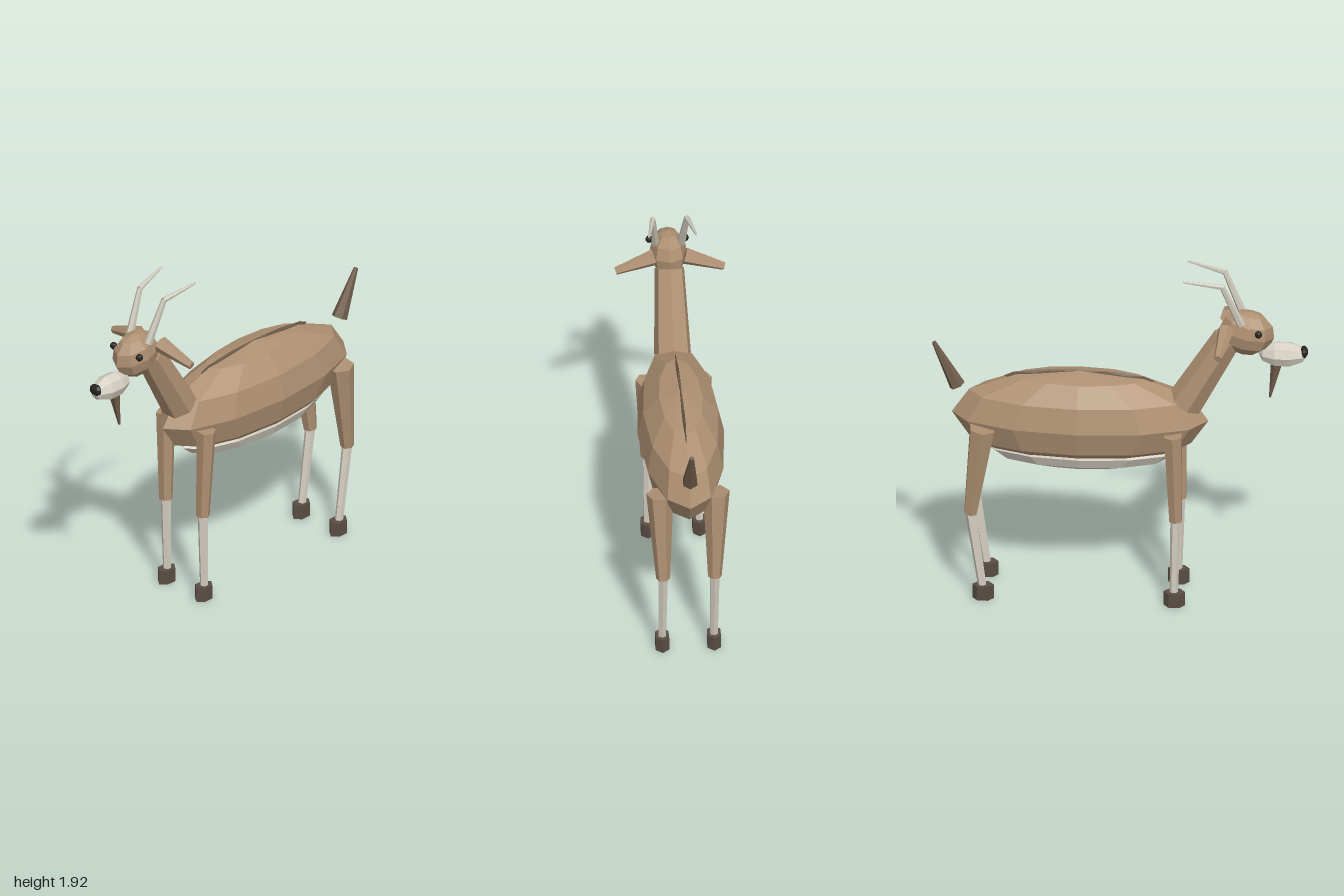
import * as THREE from 'three';

const paint = (color) => new THREE.MeshStandardMaterial({ color, flatShading: true });

export function createModel() {
  const goat = new THREE.Group();
  goat.name = 'goat';
  const tan = paint(0xae9072), brown = paint(0x6f5c4a), pale = paint(0xd6cfc2);
  const hornMat = paint(0xcdc8bb), hoofMat = paint(0x5a4e45), black = paint(0x25221f);

  const add = (name, geometry, material) => {
    const mesh = new THREE.Mesh(geometry, material);
    mesh.name = name;
    goat.add(mesh);
    return mesh;
  };

  // Faceted ellipsoid with given half sizes
  const blob = (name, material, centre, radii, w = 8, h = 6) => {
    const mesh = add(name, new THREE.SphereGeometry(1, w, h), material);
    mesh.position.set(...centre);
    mesh.scale.set(...radii);
    return mesh;
  };

  // Tapered prism running from point a to point b
  const limb = (name, material, a, b, ra, rb, sides = 6, start = 0) => {
    const from = new THREE.Vector3(...a), to = new THREE.Vector3(...b);
    const dir = to.clone().sub(from);
    const geometry = new THREE.CylinderGeometry(rb, ra, dir.length(), sides, 1, false, start);
    const mesh = add(name, geometry, material);
    mesh.position.copy(from).add(to).multiplyScalar(0.5);
    mesh.quaternion.setFromUnitVectors(new THREE.Vector3(0, 1, 0), dir.normalize());
    return mesh;
  };

  // Trunk
  blob('body', tan, [0, 1.03, -0.21], [0.23, 0.27, 0.68], 12, 6);
  blob('belly', pale, [0, 0.855, -0.2], [0.18, 0.11, 0.52], 12, 6);
  blob('backStripe', brown, [0, 1.253, -0.215], [0.012, 0.05, 0.4], 8, 6);
  limb('tail', brown, [0, 1.185, -0.86], [0, 1.435, -0.985], 0.043, 0.012, 6);

  // Neck and head
  limb('neck', tan, [0, 1.135, 0.345], [0, 1.53, 0.575], 0.1, 0.08, 7, Math.PI);
  blob('head', tan, [0, 1.565, 0.675], [0.1, 0.126, 0.147]).rotation.x = 0.2;
  const muzzle = blob('muzzle', pale, [0, 1.443, 0.865], [0.07, 0.13, 0.072], 8, 5);
  muzzle.rotation.x = Math.PI / 2;
  blob('nose', black, [0, 1.46, 0.975], [0.04, 0.032, 0.025], 8, 5);
  limb('beard', brown, [0, 1.4, 0.835], [0, 1.185, 0.797], 0.034, 0.006, 5);

  // Mirrored parts
  for (const [side, s] of [['left', 1], ['right', -1]]) {
    blob(side + 'Eye', black, [s * 0.095, 1.6, 0.743], [0.02, 0.02, 0.02], 8, 6);
    limb(side + 'Ear', tan, [s * 0.08, 1.61, 0.57], [s * 0.288, 1.548, 0.545], 0.045, 0.021, 6);
    limb(side + 'HornBase', hornMat, [s * 0.068, 1.64, 0.65], [s * 0.09, 1.875, 0.55], 0.023, 0.015, 6);
    limb(side + 'HornTip', hornMat, [s * 0.09, 1.87, 0.555], [s * 0.125, 1.91, 0.35], 0.016, 0.006, 6);

    // Legs: hip, knee and ankle positions along z
    for (const [end, hipZ, kneeZ, ankleZ, hipR] of [
      ['Front', 0.295, 0.308, 0.298, 0.053],
      ['Back', -0.717, -0.78, -0.715, 0.072],
    ]) {
      const x = s * 0.137;
      limb(side + end + 'UpperLeg', tan, [s * 0.15, 1.01, hipZ], [x, 0.5, kneeZ], hipR, 0.037);
      limb(side + end + 'LowerLeg', pale, [x, 0.51, kneeZ], [x, 0.06, ankleZ], 0.028, 0.022);
      const hoof = add(side + end + 'Hoof', new THREE.CylinderGeometry(1, 1, 0.08, 6), hoofMat);
      hoof.scale.set(0.041, 1, 0.057);
      hoof.position.set(x, 0.04, ankleZ + 0.003);
    }
  }
  return goat;
}
